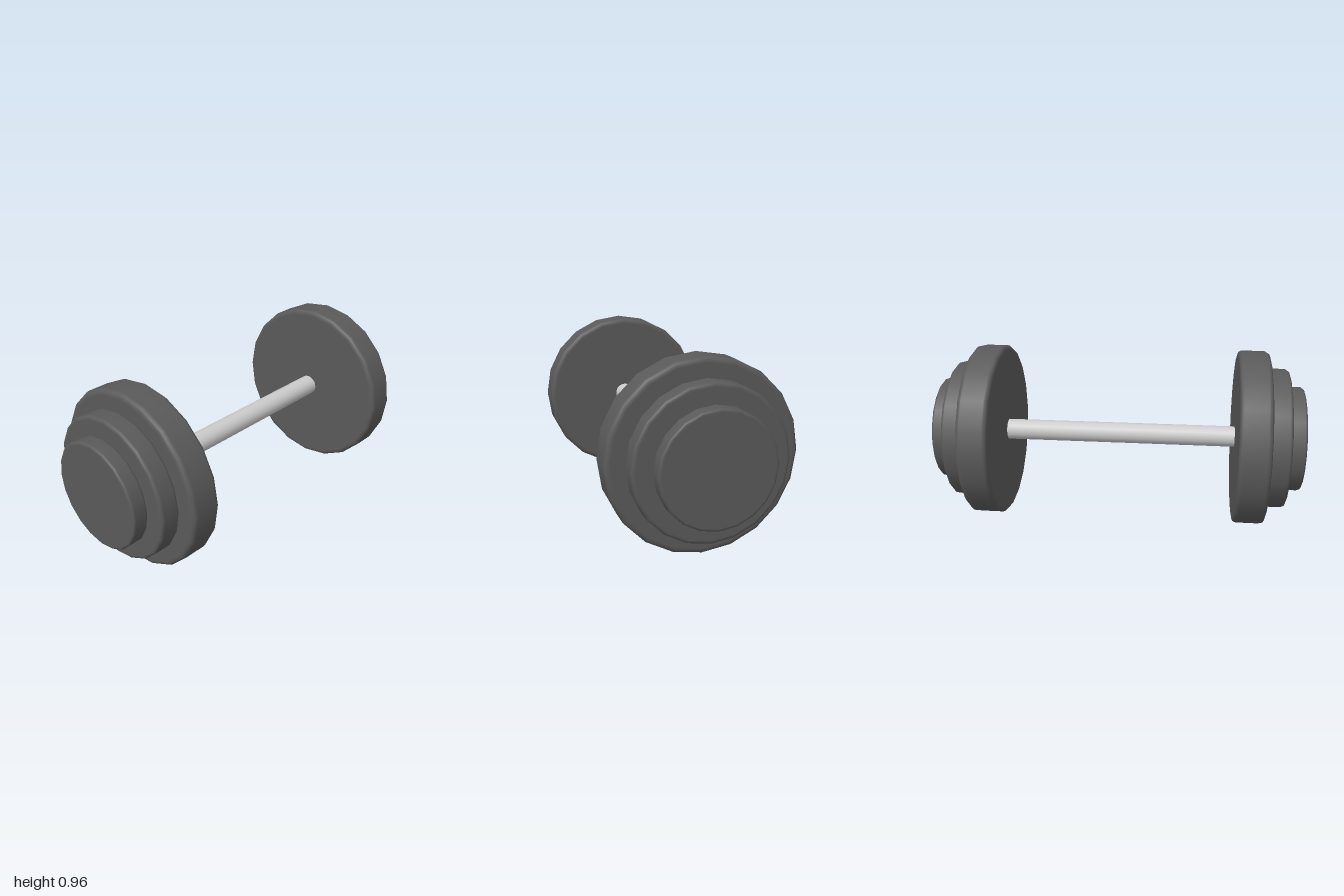
import * as THREE from 'three';

const SIDES = 20;
const AXIS_Y = 0.48;

// Disc along +x from x0 to x1, with rounded rims on both faces
function plateGeometry(x0, x1, radius, bevel) {
  const steps = 4;
  const flat = radius - bevel;
  const points = [new THREE.Vector2(0, x0), new THREE.Vector2(flat - 0.004, x0)];
  for (let i = 0; i <= steps; i++) {
    const a = (i / steps) * Math.PI / 2;
    points.push(new THREE.Vector2(flat + bevel * Math.sin(a), x0 + bevel * (1 - Math.cos(a))));
  }
  for (let i = 0; i <= steps; i++) {
    const a = (i / steps) * Math.PI / 2;
    points.push(new THREE.Vector2(flat + bevel * Math.cos(a), x1 - bevel * (1 - Math.sin(a))));
  }
  points.push(new THREE.Vector2(flat - 0.004, x1), new THREE.Vector2(0, x1));
  return new THREE.LatheGeometry(points, SIDES).rotateZ(-Math.PI / 2);
}

export function createModel() {
  const group = new THREE.Group();
  const steel = new THREE.MeshStandardMaterial({ color: 0xcccccc });
  const rubber = new THREE.MeshStandardMaterial({ color: 0x5a5a5a });

  // Handle, its ends sunk slightly into the inner plates
  const handle = new THREE.Mesh(new THREE.CylinderGeometry(0.057, 0.057, 1.34, SIDES), steel);
  handle.name = 'handle';
  handle.rotation.z = Math.PI / 2;
  handle.position.y = AXIS_Y;
  group.add(handle);

  // Three stepped plates: name, inner x, outer x, radius, rim rounding
  const plates = [
    ['largePlate', 0.64, 0.807, 0.48, 0.025],
    ['mediumPlate', 0.807, 0.915, 0.384, 0.017],
    ['smallPlate', 0.915, 1.0, 0.286, 0.013],
  ];
  for (const side of ['left', 'right']) {
    const weight = new THREE.Group();
    weight.name = side + 'Weight';
    for (const [name, x0, x1, radius, bevel] of plates) {
      const mesh = new THREE.Mesh(plateGeometry(x0, x1, radius, bevel), rubber);
      mesh.name = name;
      weight.add(mesh);
    }
    weight.position.y = AXIS_Y;
    if (side === 'right') weight.rotation.y = Math.PI;
    group.add(weight);
  }
  return group;
}
